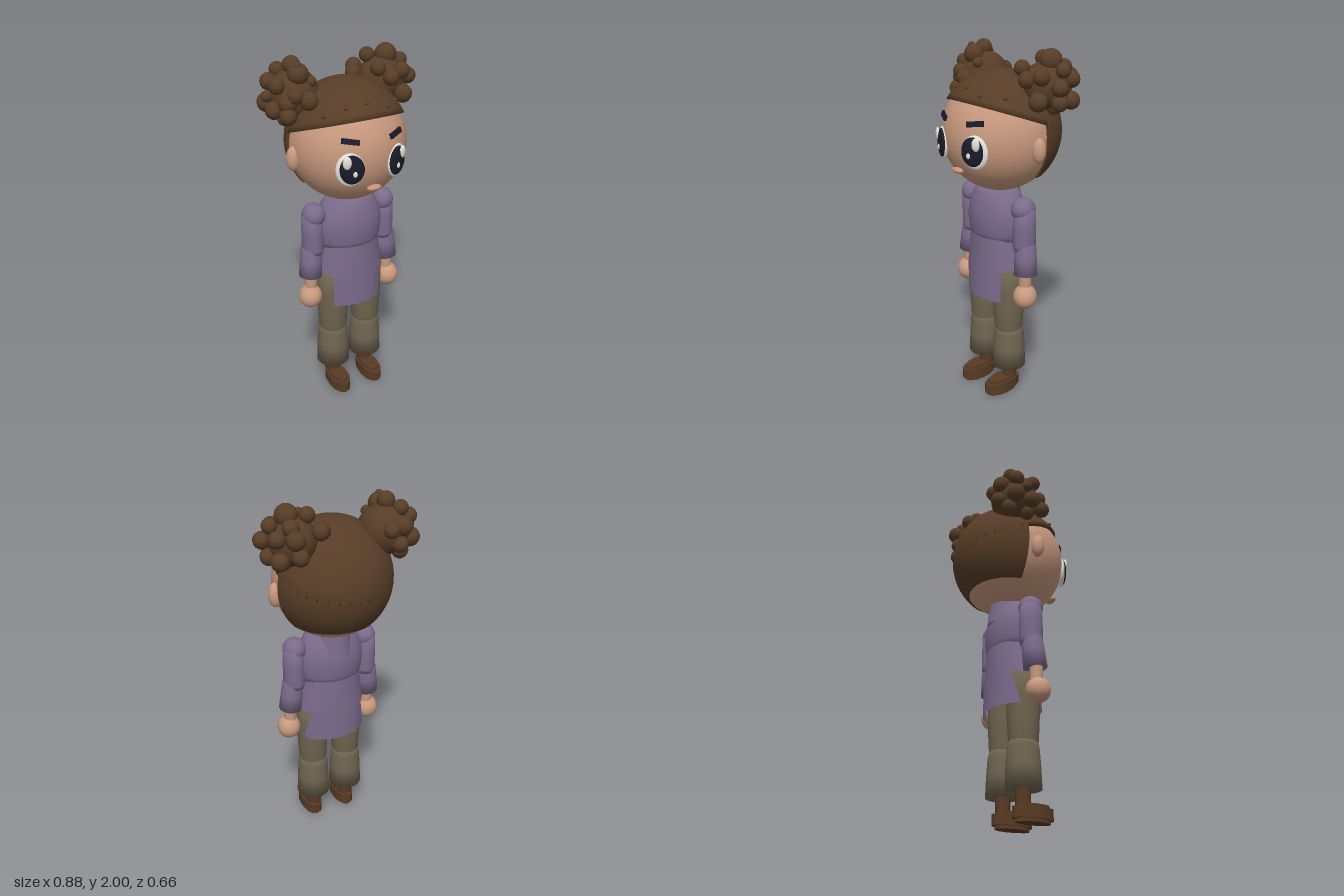
import * as THREE from 'three';
import { ParametricGeometry } from 'three/addons/geometries/ParametricGeometry.js';

const mat = (name, color, side = THREE.FrontSide) => {
  const m = new THREE.MeshStandardMaterial({ color, side });
  m.name = name;
  return m;
};

export function createModel() {
  const skin = mat('skin', 0xc8997e);
  const hair = mat('hair brown', 0x573d27);
  const purple = mat('purple cloth', 0x7b6b8c, THREE.DoubleSide);
  const olive = mat('olive cloth', 0x6f6450);
  const shoe = mat('shoe leather', 0x583b24);
  const white = mat('eye white', 0xe4e1da);
  const dark = mat('eye dark', 0x1b1b2a);
  const lip = mat('lip', 0xc98f78);

  const model = new THREE.Group();
  const body = new THREE.Group();
  body.name = 'body';
  body.position.x = -0.007;
  model.add(body);

  const add = (parent, name, geo, material, x = 0, y = 0, z = 0) => {
    const m = new THREE.Mesh(geo, material);
    m.name = name;
    m.position.set(x, y, z);
    parent.add(m);
    return m;
  };
  const ball = (parent, name, material, [x, y, z], [a, b, c], seg = 24) => {
    const m = add(parent, name, new THREE.SphereGeometry(1, seg, Math.round(seg * 0.7)), material, x, y, z);
    m.scale.set(a, b, c);
    return m;
  };
  const lathe = (pts, seg = 28) => new THREE.LatheGeometry(pts.map(p => new THREE.Vector2(p[0], p[1])), seg);

  // Head, ears and mouth
  ball(body, 'head', skin, [0, 1.54, 0], [0.318, 0.318, 0.318], 36);
  ball(body, 'mouth', lip, [0, 1.376, 0.291], [0.042, 0.016, 0.022]);

  // Hair cap, tilted back, with a lip under its rim
  const R = 0.332, HY = 1.548;
  const capPts = [[0.29, 0.083]];
  const rim = Math.acos(0.083 / R);
  for (let i = 0; i <= 14; i++) {
    const t = rim * (1 - i / 14);
    capPts.push([R * Math.sin(t), R * Math.cos(t)]);
  }
  add(body, 'hairCap', lathe(capPts, 36), hair, 0, HY, 0).rotation.x = -0.352;

  // Back hair: sphere cut by an upright plane and a level plane
  const cutZ = 0.048, cutY = -0.227;
  const low = Math.acos(cutY / R), high = Math.asin(cutZ / R);
  add(body, 'backHair', new ParametricGeometry((u, v, p) => {
    const t = low + (high - low) * v;
    const s = R * Math.sin(t);
    const a = (u - 0.5) * 2 * Math.acos(Math.min(1, cutZ / s));
    p.set(-s * Math.sin(a), R * Math.cos(t), -s * Math.cos(a));
  }, 32, 24), hair, 0, HY, 0);
  const edgeR = Math.sqrt(R * R - cutZ * cutZ), ea = Math.asin(cutY / edgeR);
  const edge = new THREE.Shape().absarc(0, 0, edgeR, ea, Math.PI - ea, false);
  add(body, 'backHairEdge', new THREE.ShapeGeometry(edge, 32), hair, 0, HY, -cutZ);
  const baseR = R * Math.sin(low), ba = Math.asin(cutZ / baseR);
  const base = new THREE.Shape().absarc(0, 0, baseR, Math.PI + ba, 2 * Math.PI - ba, false);
  add(body, 'backHairBase', new THREE.ShapeGeometry(base, 24), hair, 0, HY + cutY, 0).rotation.x = Math.PI / 2;

  // Small bumps along the fringe
  for (const [x, z] of [[-0.215, 0.155], [-0.115, 0.2], [-0.003, 0.215], [0.107, 0.222], [0.207, 0.142]]) {
    ball(body, 'fringeBump', hair, [x, HY + Math.sqrt(R * R - x * x - z * z), z], [0.014, 0.01, 0.012], 8);
  }

  // Hair buns: a core covered in curls, each curl x, y, z, radius
  const buns = {
    leftBun: [[0.25, 1.81, -0.09, 0.125], [0.395, 1.82, -0.045, 0.045], [0.32, 1.75, 0.03, 0.05],
      [0.36, 1.85, -0.16, 0.045], [0.285, 1.85, -0.215, 0.05], [0.145, 1.87, -0.195, 0.045],
      [0.11, 1.85, -0.136, 0.045], [0.28, 1.94, -0.09, 0.06], [0.185, 1.94, -0.125, 0.042],
      [0.175, 1.9, 0.01, 0.042], [0.17, 1.92, 0.015, 0.02], [0.24, 1.85, 0.035, 0.045],
      [0.32, 1.87, 0.01, 0.045], [0.37, 1.74, -0.07, 0.045], [0.35, 1.74, -0.17, 0.048],
      [0.3, 1.71, -0.1, 0.042], [0.26, 1.76, -0.21, 0.045], [0.37, 1.9, -0.09, 0.04],
      [0.29, 1.9, -0.17, 0.045], [0.165, 1.78, 0.02, 0.03]],
    rightBun: [[-0.26, 1.8, -0.1, 0.135], [-0.385, 1.76, -0.16, 0.052], [-0.31, 1.84, -0.21, 0.052],
      [-0.235, 1.83, -0.225, 0.042], [-0.268, 1.95, -0.1, 0.048], [-0.265, 1.92, -0.03, 0.056],
      [-0.272, 1.965, -0.02, 0.022], [-0.375, 1.87, -0.045, 0.042], [-0.35, 1.73, 0.025, 0.045],
      [-0.245, 1.8, 0.05, 0.048], [-0.31, 1.83, 0.03, 0.042], [-0.39, 1.745, -0.06, 0.047],
      [-0.375, 1.87, -0.15, 0.045], [-0.32, 1.92, -0.16, 0.042], [-0.32, 1.7, -0.17, 0.045],
      [-0.33, 1.695, -0.06, 0.042], [-0.29, 1.75, -0.22, 0.045], [-0.41, 1.81, -0.1, 0.03],
      [-0.34, 1.79, 0.0, 0.05], [-0.205, 1.88, -0.01, 0.03]],
  };
  for (const [name, curls] of Object.entries(buns)) {
    const bun = new THREE.Group();
    bun.name = name;
    model.add(bun);
    curls.forEach(([x, y, z, r], i) =>
      ball(bun, i ? 'curl' : 'bunCore', hair, [x, y, z], [r, r, r], i ? 12 : 24));
  }

  // Torso, collar and tunic
  const torso = add(body, 'torso', lathe([[0, 0.95], [0.172, 0.95], [0.187, 0.99], [0.195, 1.06], [0.19, 1.11],
    [0.175, 1.165], [0.152, 1.21], [0.13, 1.235], [0, 1.24]], 36), purple, 0, 0, 0.02);
  torso.scale.z = 0.72;
  add(body, 'collar', new THREE.CylinderGeometry(0.095, 0.11, 0.14, 24), purple, 0, 1.19, -0.015);

  const cloth = (name, y0, y1, x0, x1, z0, z1, angles) =>
    add(body, name, new ParametricGeometry((u, v, p) => {
      const [from, to] = angles(v);
      const a = from + (to - from) * u;
      p.set((x0 + (x1 - x0) * v) * Math.sin(a), y0 + (y1 - y0) * v, (z0 + (z1 - z0) * v) * Math.cos(a));
    }, 36, 6), purple, 0, 0, 0.02);
  cloth('tunicWaist', 0.78, 0.97, 0.202, 0.172, 0.14, 0.134, () => [0, Math.PI * 2]);
  cloth('tunicFrontPanel', 0.6, 0.78, 0.202, 0.202, 0.145, 0.14, () => [-0.8, 0.8]);
  cloth('tunicBackPanel', 0.6, 0.78, 0.202, 0.202, 0.145, 0.14, v => {
    const a = 1.93 + 0.34 * v;
    return [a, Math.PI * 2 - a];
  });

  for (const s of [1, -1]) {
    const side = s > 0 ? 'left' : 'right';
    ball(body, side + 'Ear', skin, [s * 0.318, 1.497, 0.01], [0.038, 0.068, 0.037]);

    // Eye: white, dark iris and two highlights, turned to follow the face
    const eye = new THREE.Group();
    eye.name = side + 'Eye';
    eye.position.set(s * 0.132, 1.497, 0.282);
    eye.rotation.y = s * 0.42;
    body.add(eye);
    ball(eye, 'eyeWhite', white, [s * 0.003, 0, 0], [0.075, 0.09, 0.021]);
    ball(eye, 'iris', dark, [-s * 0.005, 0.004, 0.011], [0.064, 0.077, 0.02]);
    ball(eye, 'highlight', white, [s * 0.02, 0.046, 0.025], [0.023, 0.035, 0.012], 16);
    ball(eye, 'smallHighlight', white, [-s * 0.02, -0.014, 0.029], [0.012, 0.016, 0.008], 12);
    const brow = add(body, side + 'Brow', new THREE.BoxGeometry(0.092, 0.028, 0.014), dark, s * 0.13, 1.642, 0.274);
    brow.rotation.set(-0.3, s * 0.43, s * 0.14, 'YXZ');

    // Arm: shoulder, two sleeve pieces, wrist and hand
    ball(body, side + 'Shoulder', purple, [s * 0.215, 1.155, 0.02], [0.064, 0.066, 0.07]);
    const upper = add(body, side + 'UpperSleeve', lathe([[0, 0.92], [0.055, 0.925], [0.06, 0.95], [0.06, 1.05],
      [0.058, 1.16], [0, 1.165]]), purple, s * 0.222, 0, 0.016);
    upper.scale.z = 1.1;
    const lower = add(body, side + 'LowerSleeve', lathe([[0, -0.09], [0.065, -0.09], [0.062, 0], [0.058, 0.075],
      [0.045, 0.095], [0, 0.1]]), purple, s * 0.238, 0.875, 0.02);
    lower.rotation.set(-0.06, 0, s * 0.08);
    add(body, side + 'Wrist', new THREE.CylinderGeometry(0.036, 0.034, 0.12, 16), skin, s * 0.247, 0.75, 0.03);
    ball(body, side + 'Hand', skin, [s * 0.254, 0.657, 0.035], [0.066, 0.069, 0.067]);

    // Leg: thigh, shin and ankle
    const lx = s * 0.108;
    add(body, side + 'Thigh', lathe([[0, 0.38], [0.07, 0.385], [0.081, 0.42], [0.088, 0.55], [0.091, 0.65],
      [0.093, 0.8], [0, 0.81]]), olive, lx, 0, 0.028);
    add(body, side + 'Shin', lathe([[0, 0.165], [0.097, 0.165], [0.093, 0.28], [0.086, 0.38], [0.076, 0.42],
      [0, 0.44]]), olive, lx, 0, 0.026);
    add(body, side + 'Ankle', new THREE.CylinderGeometry(0.042, 0.04, 0.12, 12), shoe, lx, 0.13, 0.022);

    // Shoe: a long faceted body between a thin sole and a thin top
    for (const [name, y, h, k] of [['Sole', 0.01, 0.02, 0.86], ['Shoe', 0.047, 0.058, 1], ['ShoeTop', 0.083, 0.018, 0.8]]) {
      const geo = new THREE.CylinderGeometry(1, 1, h, 12, 1);
      const m = add(body, side + name, geo, shoe, lx, y, 0.079);
      m.scale.set(0.058 * k, 1, 0.121 * k);
    }
  }
  return model;
}
